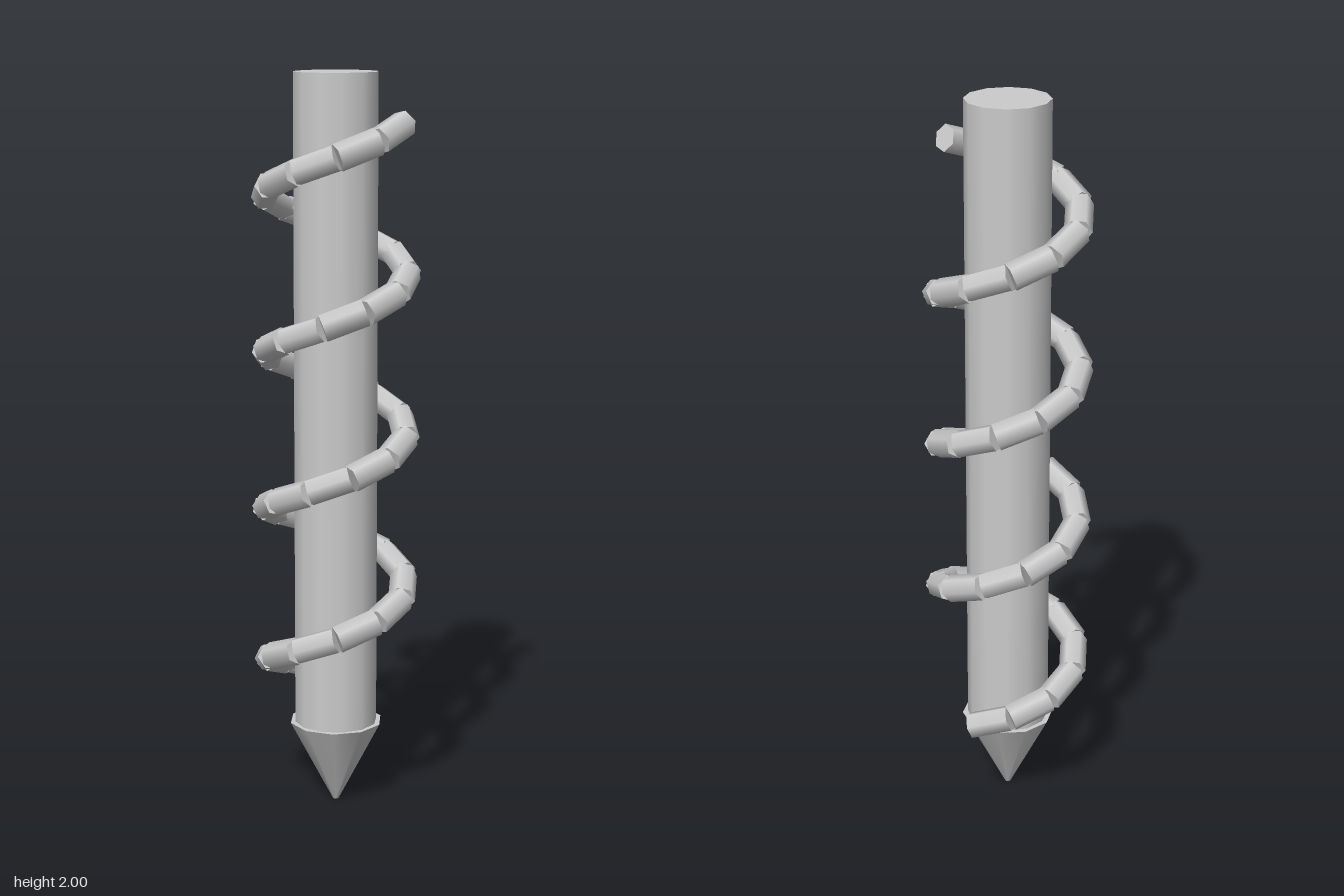
import * as THREE from 'three';

const material = new THREE.MeshStandardMaterial({ color: 0xcccccc });

function addMesh(parent, name, geometry) {
  const mesh = new THREE.Mesh(geometry, material);
  mesh.name = name;
  parent.add(mesh);
  return mesh;
}

// Straight round bar running from point a to point b
function addBar(parent, name, a, b, radius, sides) {
  const dir = b.clone().sub(a);
  const bar = addMesh(parent, name, new THREE.CylinderGeometry(radius, radius, dir.length(), sides));
  bar.position.copy(a).add(b).multiplyScalar(0.5);
  bar.quaternion.setFromUnitVectors(new THREE.Vector3(0, 1, 0), dir.normalize());
}

export function createModel() {
  const model = new THREE.Group();
  model.name = 'groundScrew';

  // Straight shaft
  const tipHeight = 0.23;
  const shaft = addMesh(model, 'shaft', new THREE.CylinderGeometry(0.113, 0.113, 2 - tipHeight, 12));
  shaft.position.y = (2 + tipHeight) / 2;

  // Ten-sided pointed tip, slightly wider than the shaft
  const tip = addMesh(model, 'tip',
    new THREE.CylinderGeometry(0.128, 0.008, tipHeight, 10, 1, false, Math.PI / 2));
  tip.position.y = tipHeight / 2;

  // Spiral thread: a chain of straight bars around the shaft
  const thread = new THREE.Group();
  thread.name = 'thread';
  model.add(thread);
  const segments = 40, turns = 3.75, radius = 0.191, yStart = 0.278, yEnd = 1.87;
  const helix = (i) => {
    const t = i / segments;
    const angle = Math.PI / 2 + t * turns * Math.PI * 2;
    return new THREE.Vector3(
      radius * Math.cos(angle),
      yStart + t * (yEnd - yStart),
      -radius * Math.sin(angle));
  };
  for (let i = 0; i < segments; i++) {
    addBar(thread, 'threadSegment', helix(i), helix(i + 1), 0.037, 6);
  }

  return model;
}
